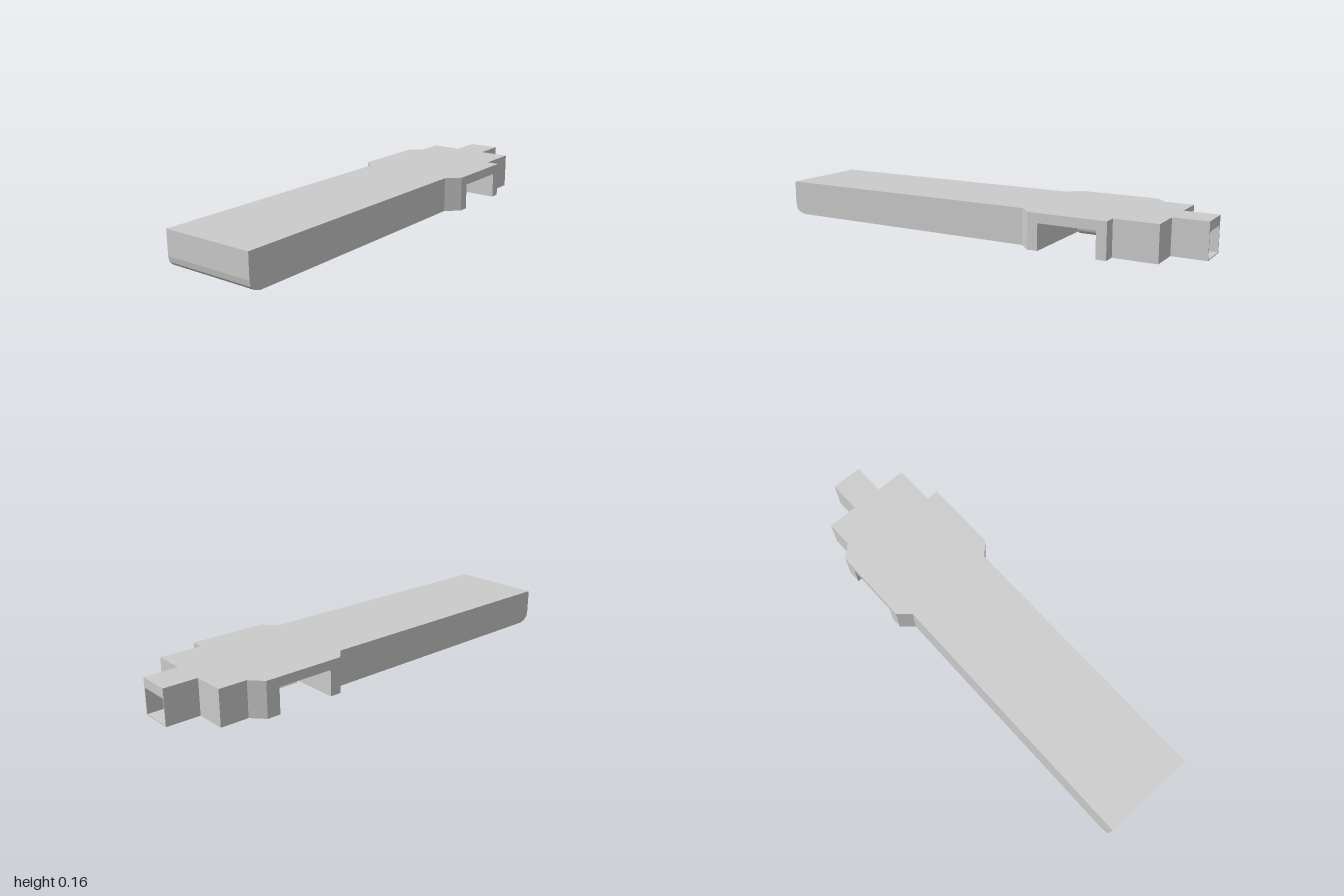
import * as THREE from 'three';

const TOP = 0.157, CEIL = 0.115;

export function createModel() {
  const model = new THREE.Group();
  const material = new THREE.MeshStandardMaterial({ color: 0xcccccc, flatShading: true });

  const add = (name, geometry) => {
    const mesh = new THREE.Mesh(geometry, material);
    mesh.name = name;
    model.add(mesh);
    return mesh;
  };
  const extrude = (pts, depth) => new THREE.ExtrudeGeometry(
    new THREE.Shape(pts.map(([a, b]) => new THREE.Vector2(a, b))),
    { depth, bevelEnabled: false });
  // Horizontal slab from an outline of [x, z] points
  const slab = (name, pts, y0, y1) =>
    add(name, extrude(pts.map(([x, z]) => [x, -z]), y1 - y0).rotateX(-Math.PI / 2).translate(0, y0, 0));
  // Side profile of [z, y] points, swept from x0 to x1
  const sideProfile = (name, pts, x0, x1) =>
    add(name, extrude(pts.map(([z, y]) => [-z, y]), x1 - x0).rotateY(Math.PI / 2).translate(x0, 0, 0));

  // Top plate with side bumps and rear tab
  slab('topPlate', [
    [-0.215, 1], [0.21, 1], [0.21, -0.26], [0.267, -0.315], [0.267, -0.66], [0.21, -0.66],
    [0.21, -0.85], [0.07, -0.85], [0.07, -1], [-0.075, -1], [-0.075, -0.85], [-0.215, -0.85],
    [-0.215, -0.725], [-0.27, -0.675], [-0.27, -0.31], [-0.215, -0.26],
  ], CEIL, TOP);

  // Long side walls, rounded under the front end
  const wall = [[1, CEIL], [1, 0.05], [0.995, 0.025], [0.98, 0.01], [0.95, 0], [-0.28, 0], [-0.28, CEIL]];
  sideProfile('rightWall', wall, -0.215, -0.19);
  sideProfile('leftWall', wall, 0.185, 0.21);

  // Front wall with raised lower edge
  sideProfile('frontWall', [[1, CEIL], [1, 0.05], [0.995, 0.025], [0.985, 0.013], [0.965, 0.013], [0.965, CEIL]],
    -0.19, 0.185);

  // Chamfered corner fillets of the front cavity
  slab('rightCorner', [[-0.19, 0.965], [-0.165, 0.965], [-0.19, 0.93]], 0.012, CEIL);
  slab('leftCorner', [[0.185, 0.965], [0.16, 0.965], [0.185, 0.93]], 0.012, CEIL);

  // Cross wall between the long cavity and the side-to-side channel
  slab('crossWall', [
    [-0.215, -0.26], [-0.19, -0.28], [0.185, -0.28], [0.21, -0.26],
    [0.267, -0.315], [0.267, -0.36], [-0.27, -0.36], [-0.27, -0.31],
  ], 0, CEIL);

  // Rear block behind the channel
  slab('rearBlock', [
    [-0.27, -0.615], [0.267, -0.615], [0.267, -0.66], [0.21, -0.66], [0.21, -0.85],
    [-0.215, -0.85], [-0.215, -0.725], [-0.27, -0.675],
  ], 0, CEIL);

  // Hollow rear tab, open at its back end
  const tab = (name, x0, x1, y0, y1) => slab(name, [[x0, -0.85], [x1, -0.85], [x1, -1], [x0, -1]], y0, y1);
  tab('tabRightWall', -0.075, -0.071, 0, CEIL);
  tab('tabLeftWall', 0.066, 0.07, 0, CEIL);
  tab('tabFloor', -0.071, 0.066, 0, 0.004);
  // Pocket ceiling stays at the plate's underside

  // Spring clip hanging in the channel
  add('springClip', extrude([
    [-0.045, CEIL], [-0.075, 0.025], [-0.088, 0.01], [-0.078, 0.008], [-0.06, 0.022], [-0.03, CEIL],
  ], 0.2).translate(0, 0, -0.59));
  for (const z of [-0.38, -0.6])
    add('clipMount', new THREE.BoxGeometry(0.12, 0.035, 0.012)).position.set(-0.07, 0.0975, z);

  // Diagonal rib and hexagonal peg under the top plate
  slab('diagonalRib', [
    [0.115, 0.94], [0.125, 0.95], [0.14, 0.945], [0.145, 0.93],
    [-0.105, -0.225], [-0.12, -0.235], [-0.13, -0.23], [-0.135, -0.215],
  ], 0.04, CEIL);
  add('peg', new THREE.CylinderGeometry(0.04, 0.04, 0.08, 6)).position.set(-0.08, 0.075, 0.32);

  return model;
}
